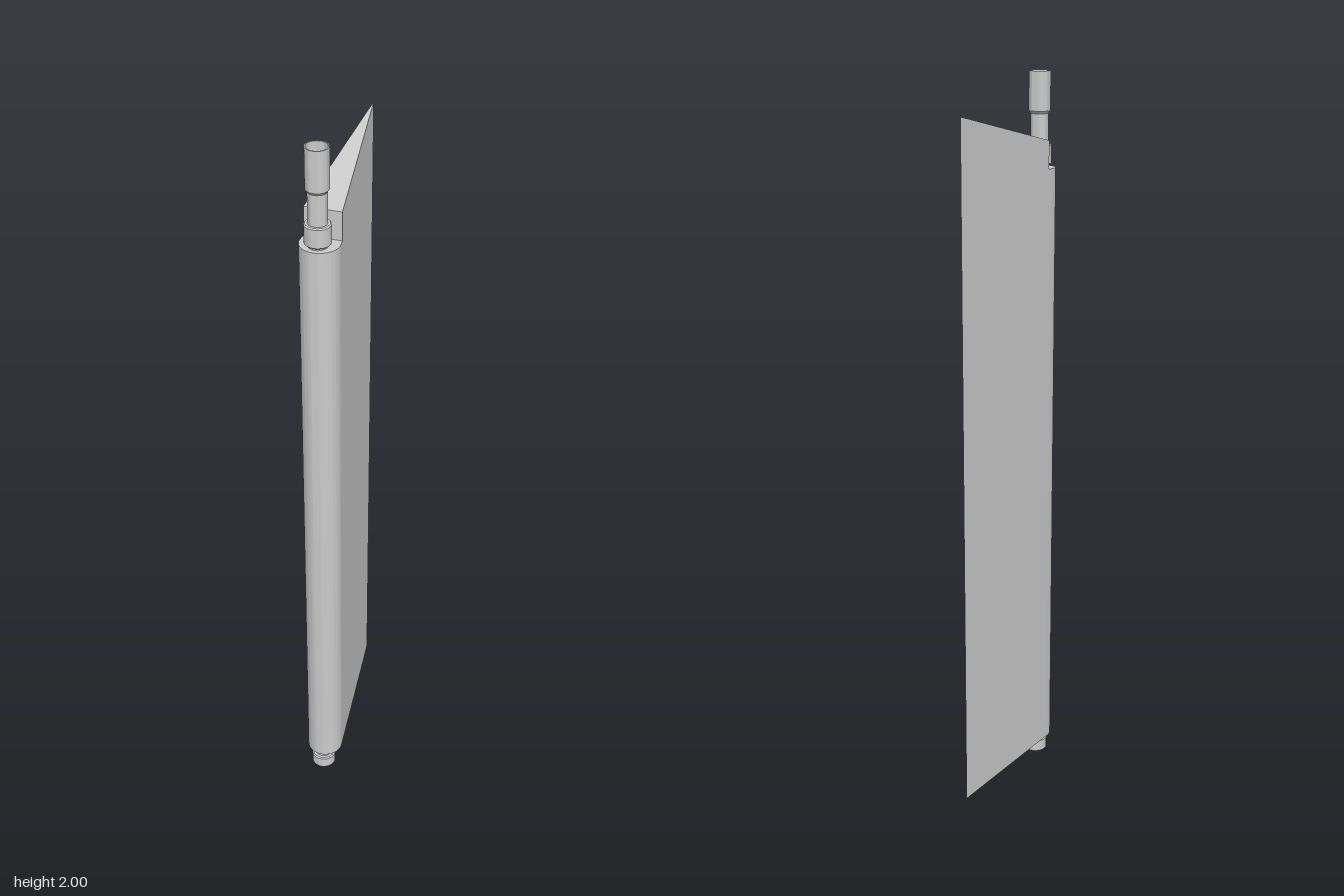
import * as THREE from 'three';
import { toCreasedNormals } from 'three/addons/utils/BufferGeometryUtils.js';

const BOTTOM = 0.06, NOSE_TOP = 1.75;
const TAIL_Z = -0.24, STEP_Z = 0.165, NOSE_Z = 0.19, NOSE_R = 0.05, POST_Z = 0.204;

export function createModel() {
  const group = new THREE.Group();
  const material = new THREE.MeshStandardMaterial({ color: 0xcccccc });

  const add = (name, geometry) => {
    const mesh = new THREE.Mesh(toCreasedNormals(geometry, 0.6), material);
    mesh.name = name;
    group.add(mesh);
    return mesh;
  };

  // Plan outline (x, -z) raised along y from the blade's lower edge
  const raise = (shape, height) => new THREE.ExtrudeGeometry(shape, { depth: height, bevelEnabled: false, curveSegments: 20 })
    .rotateX(-Math.PI / 2).translate(0, BOTTOM, 0);

  // The flat sides run tangent to the round leading edge
  const tangent = Math.asin(NOSE_R / (NOSE_Z - TAIL_Z));
  const halfWidth = (STEP_Z - TAIL_Z) * Math.tan(tangent);

  // Round leading edge
  const nose = new THREE.Shape();
  nose.moveTo(-halfWidth, -STEP_Z);
  nose.lineTo(halfWidth, -STEP_Z);
  nose.absarc(0, -NOSE_Z, NOSE_R, tangent, Math.PI - tangent, true);
  add('leadingEdge', raise(nose, NOSE_TOP - BOTTOM));

  // Tapering blade with a top that rises towards the tail
  const wedge = new THREE.Shape([
    new THREE.Vector2(-halfWidth, -STEP_Z),
    new THREE.Vector2(halfWidth, -STEP_Z),
    new THREE.Vector2(0, -TAIL_Z),
  ]);
  const blade = raise(wedge, 1);
  const pos = blade.attributes.position;
  for (let i = 0; i < pos.count; i++) {
    if (pos.getY(i) < 0.5) continue;
    const t = (STEP_Z - pos.getZ(i)) / (STEP_Z - TAIL_Z);
    pos.setY(i, THREE.MathUtils.lerp(1.825, 1.92, t));
  }
  add('blade', blade);

  // Turned fittings, profiles given as radius and height
  const turn = (name, profile) => {
    const points = profile.map(([r, y]) => new THREE.Vector2(r, y));
    add(name, new THREE.LatheGeometry(points, 40)).position.z = POST_Z;
  };

  // Upper spindle: collar, neck and hollow head
  turn('upperSpindle', [
    [0, 1.74], [0.024, 1.74], [0.024, 1.757], [0.03, 1.757], [0.033, 1.76],
    [0.033, 1.807], [0.03, 1.81], [0.024, 1.81], [0.024, 1.89], [0.029, 1.897],
    [0.029, 2], [0.026, 2], [0.026, 1.93], [0, 1.93],
  ]);

  // Lower pivot: neck and hollow collar
  turn('lowerPivot', [
    [0, 0.025], [0.024, 0.025], [0.024, 0.004], [0.027, 0], [0.03, 0], [0.034, 0.004],
    [0.034, 0.036], [0.031, 0.04], [0.024, 0.04], [0.024, 0.07], [0, 0.07],
  ]);

  return group;
}
